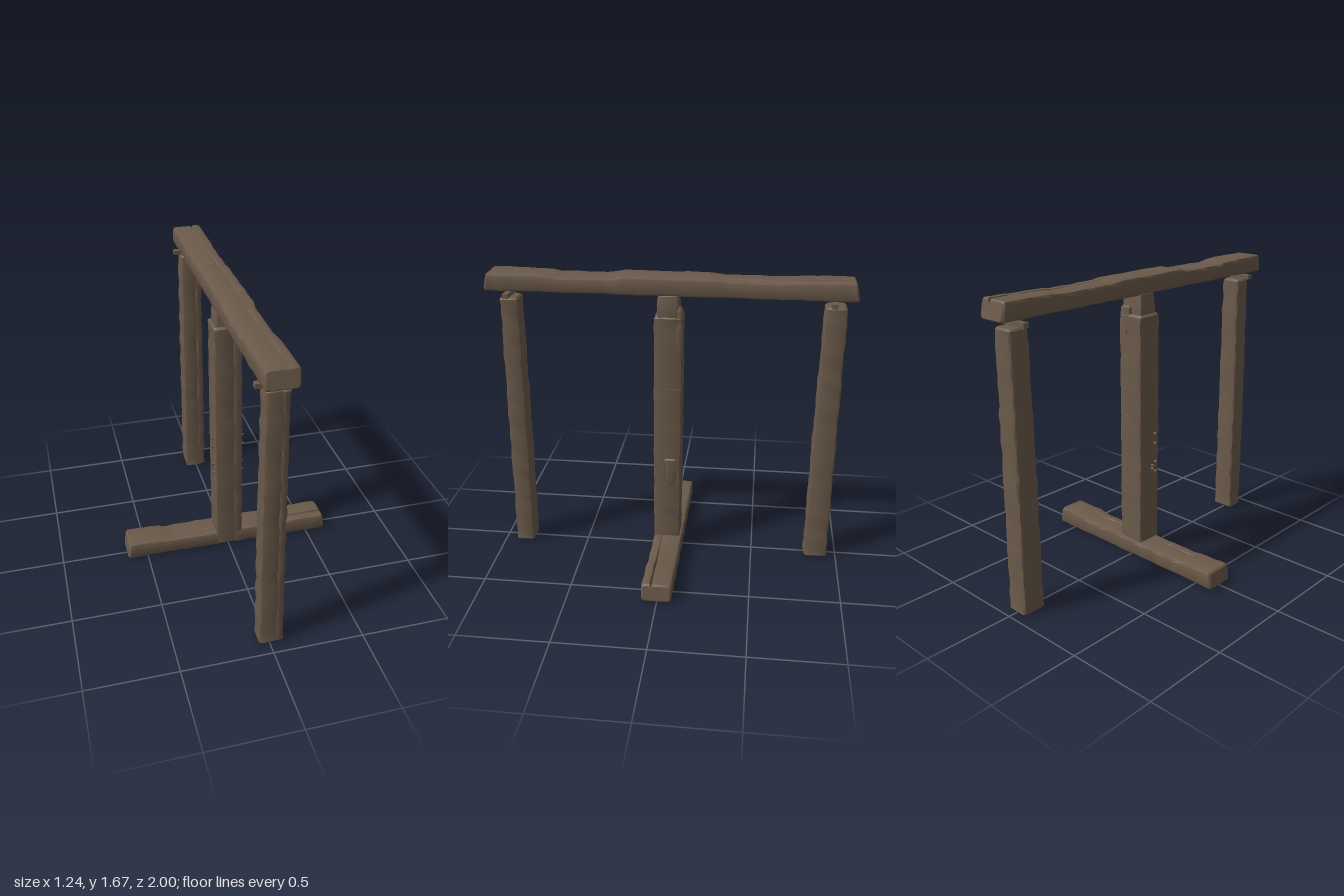
import * as THREE from 'three';
import { toCreasedNormals } from 'three/addons/utils/BufferGeometryUtils.js';

const wood = new THREE.MeshStandardMaterial({ color: 0x6b5a4a });
wood.name = 'weathered wood';

// How a timber's (u, v, t) cross-section and length map to the model's axes
const toWorld = {
  x: (u, v, t) => [t, v, u],
  y: (u, v, t) => [u, t, v],
  z: (u, v, t) => [u, v, t],
};

// Hewn timber lofted through stations [t, u0, u1, v0, v1, groove depth]
function timber(name, axis, stations, { slant = 0, bevel = 0.016, seed = 1, rough = 0.0025, step = 0.05 } = {}) {
  const first = stations[0][0], last = stations[stations.length - 1][0];
  const sample = (t) => {
    let i = 0;
    while (i < stations.length - 2 && t > stations[i + 1][0]) i++;
    const a = stations[i], b = stations[i + 1];
    const k = (t - a[0]) / (b[0] - a[0]);
    return a.map((value, j) => value + (b[j] - value) * k);
  };
  const ts = [first, first + 0.01];
  const count = Math.max(1, Math.round((last - first) / step));
  for (let i = 1; i < count; i++) ts.push(first + (last - first) * i / count);
  ts.push(last - 0.01, last);

  const positions = [], index = [];
  let n = 0;
  ts.forEach((t, i) => {
    const inset = i === 0 || i === ts.length - 1 ? 0.008 : 0;
    let [, u0, u1, v0, v1, groove] = sample(t);
    u0 += inset; u1 -= inset; v0 += inset; v1 -= inset;
    const b = bevel, g = u0 + (u1 - u0) * 0.68;
    const ring = [
      [u0 + b, v0], [u1 - b, v0], [u1 - b * 0.3, v0 + b * 0.3], [u1, v0 + b],
      [u1, v1 - b], [u1 - b * 0.3, v1 - b * 0.3], [u1 - b, v1],
      [g + 0.008, v1], [g, v1 - groove], [g - 0.008, v1],
      [u0 + b, v1], [u0 + b * 0.3, v1 - b * 0.3], [u0, v1 - b],
      [u0, v0 + b], [u0 + b * 0.3, v0 + b * 0.3],
    ];
    n = ring.length;
    ring.forEach(([u, v], j) => {
      const side = Math.floor(j / 4);
      const du = rough * Math.sin(t * 23 + seed * 3 + side * 2.1) * Math.cos(t * 61 + seed + side);
      const dv = rough * Math.sin(t * 29 + seed * 5 + side * 1.7) * Math.cos(t * 47 + seed);
      const lean = 1 - slant * (v - v0) / (v1 - v0);
      positions.push(...toWorld[axis](u + du, v + dv, t * lean));
    });
  });

  const face = (a, b, c) => axis === 'z' ? index.push(a, b, c) : index.push(a, c, b);
  for (let i = 0; i < ts.length - 1; i++) {
    for (let j = 0; j < n; j++) {
      const a = i * n + j, b = i * n + (j + 1) % n;
      face(a, b, b + n);
      face(a, b + n, a + n);
    }
  }
  // End caps
  [[first, 0], [last, ts.length - 1]].forEach(([t, row]) => {
    const [, u0, u1, v0, v1] = sample(t);
    const centre = positions.length / 3;
    positions.push(...toWorld[axis]((u0 + u1) / 2, (v0 + v1) / 2, t * (1 - slant / 2)));
    for (let j = 0; j < n; j++) {
      const a = row * n + j, b = row * n + (j + 1) % n;
      if (row) face(centre, a, b); else face(centre, b, a);
    }
  });
  const geometry = new THREE.BufferGeometry();
  geometry.setAttribute('position', new THREE.Float32BufferAttribute(positions, 3));
  geometry.setIndex(index);
  return named(name, toCreasedNormals(geometry, 0.5));
}

function named(name, geometry) {
  const mesh = new THREE.Mesh(geometry, wood);
  mesh.name = name;
  return mesh;
}

function block(name, x0, x1, y0, y1, z0, z1) {
  const mesh = named(name, new THREE.BoxGeometry(x1 - x0, y1 - y0, z1 - z0));
  mesh.position.set((x0 + x1) / 2, (y0 + y1) / 2, (z0 + z1) / 2);
  return mesh;
}

// Peg lying along x
function peg(name, x0, x1, y, z, radius) {
  const mesh = named(name, new THREE.CylinderGeometry(radius, radius, x1 - x0, 8));
  mesh.rotation.z = Math.PI / 2;
  mesh.position.set((x0 + x1) / 2, y, z);
  return mesh;
}

export function createModel() {
  const model = new THREE.Group();
  model.name = 'timberFrame';

  // Long beam on top, with worn hollows and a split toward the back
  model.add(timber('topBeam', 'z', [
    [-1, -0.08, 0.09, 1.57, 1.672, 0.03],
    [-0.68, -0.078, 0.088, 1.57, 1.668, 0.022],
    [-0.6, -0.082, 0.086, 1.57, 1.66, 0.015],
    [-0.3, -0.084, 0.084, 1.57, 1.664, 0.004],
    [-0.2, -0.086, 0.084, 1.57, 1.671, 0.002],
    [0.26, -0.086, 0.082, 1.57, 1.671, 0.002],
    [0.32, -0.087, 0.078, 1.57, 1.658, 0.002],
    [0.6, -0.088, 0.078, 1.57, 1.656, 0.002],
    [0.68, -0.089, 0.08, 1.57, 1.668, 0.002],
    [1, -0.09, 0.08, 1.57, 1.67, 0.002],
  ], { slant: 0.018, seed: 2 }));

  // Cross beam on the ground
  model.add(timber('baseBeam', 'x', [
    [-0.62, -0.092, 0.076, 0.006, 0.106, 0.002],
    [-0.43, -0.09, 0.076, 0.006, 0.104, 0.002],
    [-0.38, -0.088, 0.076, 0.006, 0.094, 0.002],
    [-0.12, -0.087, 0.078, 0.006, 0.096, 0.002],
    [0.1, -0.085, 0.08, 0.006, 0.102, 0.004],
    [0.32, -0.083, 0.082, 0.006, 0.096, 0.012],
    [0.42, -0.082, 0.084, 0.006, 0.107, 0.02],
    [0.618, -0.08, 0.085, 0.006, 0.11, 0.025],
  ], { slant: 0.02, seed: 5 }));

  // Central post and the narrower tenon carrying the beam
  model.add(timber('centrePost', 'y', [
    [0.01, -0.073, 0.084, -0.07, 0.08, 0.002],
    [0.6, -0.078, 0.08, -0.074, 0.079, 0.002],
    [1.2, -0.08, 0.076, -0.078, 0.076, 0.003],
    [1.455, -0.08, 0.073, -0.078, 0.073, 0.003],
  ], { bevel: 0.009, seed: 3 }));
  model.add(timber('postTenon', 'y', [
    [1.42, -0.066, 0.07, -0.062, 0.06, 0.001],
    [1.53, -0.066, 0.07, -0.06, 0.058, 0.001],
    [1.575, -0.058, 0.062, -0.05, 0.05, 0.001],
  ], { bevel: 0.009, seed: 4 }));
  model.add(timber('postSplinter', 'y', [
    [1.15, 0.045, 0.072, -0.076, -0.05, 0],
    [1.35, 0.02, 0.077, -0.08, -0.046, 0],
    [1.5, 0.0, 0.07, -0.074, -0.05, 0],
  ], { bevel: 0.006, seed: 6 }));

  // Hanging posts at both ends
  model.add(timber('frontPost', 'y', [
    [0.004, -0.058, 0.076, 0.824, 0.93, 0.001],
    [0.7, -0.06, 0.068, 0.82, 0.928, 0.003],
    [1.53, -0.056, 0.062, 0.818, 0.92, 0.001],
  ], { seed: 7, rough: 0.004 }));
  model.add(timber('backPost', 'y', [
    [0.0, -0.07, 0.062, -0.947, -0.813, 0.001],
    [0.8, -0.068, 0.062, -0.947, -0.82, 0.003],
    [1.53, -0.062, 0.06, -0.947, -0.832, 0.001],
  ], { seed: 9, rough: 0.004 }));

  // Cross bars between the end posts and the beam
  for (const [side, z] of [['front', 0.877], ['back', -0.876]]) {
    model.add(block(side + 'CrossBar', -0.1, 0.098, 1.535, 1.56, z - 0.016, z + 0.016));
    model.add(block(side + 'Pin', -0.012, 0.012, 1.52, 1.58, z - 0.012, z + 0.012));
  }

  // Pegs and a patch in the central post
  for (const y of [0.7, 0.758]) model.add(peg('throughPeg', -0.096, 0.094, y, 0.04, 0.007));
  for (const [y, z] of [[0.525, 0.045], [0.585, 0.045], [0.545, 0.022], [0.565, 0.022]]) {
    model.add(peg('shortPeg', -0.094, 0.09, y, z, 0.008));
  }
  for (const z of [0.012, -0.058]) model.add(peg('stapleEnd', 0.06, 0.085, 1.04, z, 0.009));
  model.add(block('staple', 0.07, 0.081, 1.035, 1.045, -0.058, 0.012));
  model.add(timber('sidePatch', 'y', [
    [0.44, 0.07, 0.086, -0.035, 0.0, 0],
    [0.5, 0.07, 0.09, -0.05, 0.018, 0],
    [0.615, 0.07, 0.088, -0.052, 0.018, 0],
  ], { bevel: 0.004, seed: 8, rough: 0.001 }));

  return model;
}
